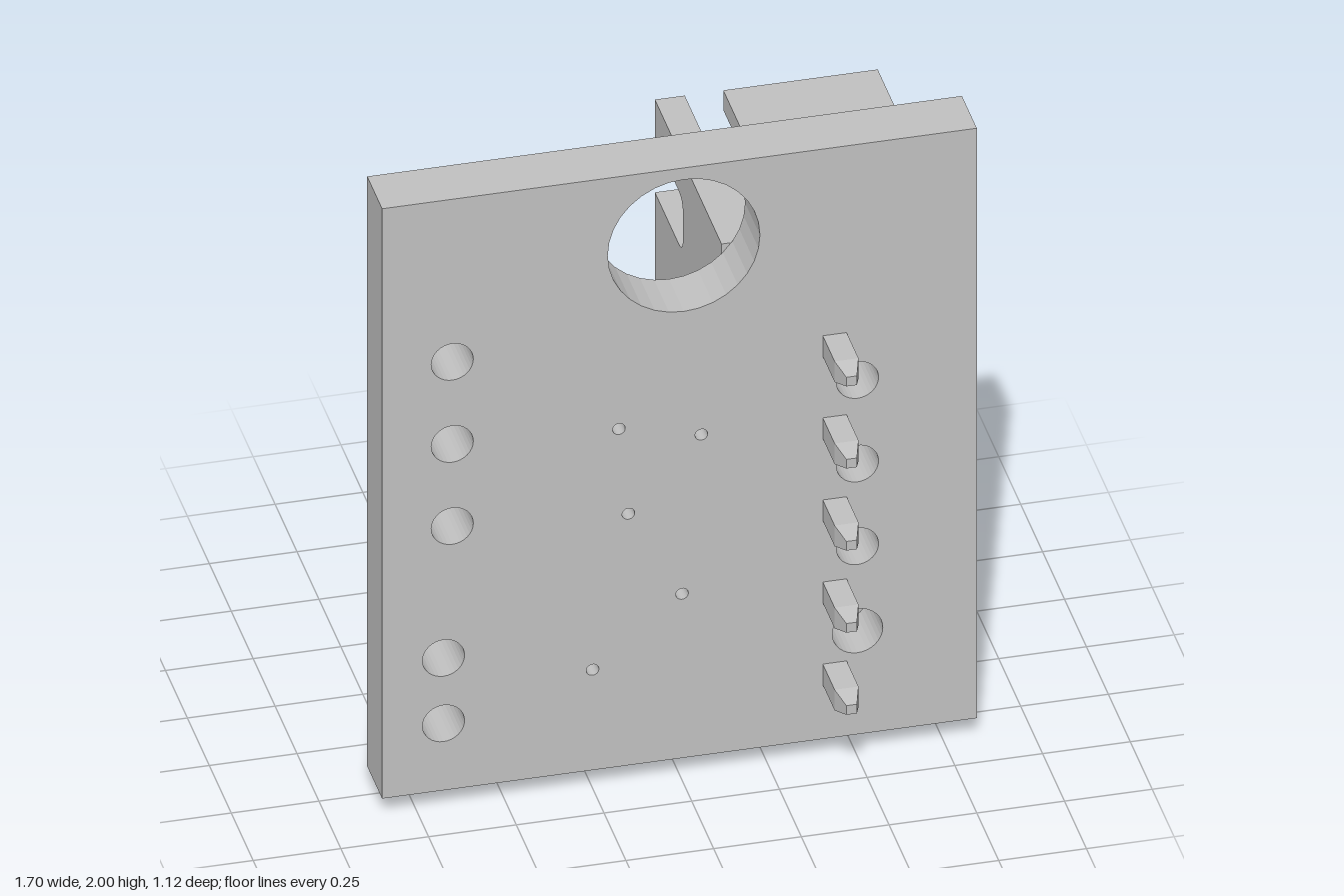
import * as THREE from 'three';

const grey = new THREE.MeshStandardMaterial({ color: 0xbfbfbf });
grey.name = 'plain grey';

export function createModel() {
  const model = new THREE.Group();
  const add = (name, geo, parent = model) => {
    const m = new THREE.Mesh(geo, grey);
    m.name = name;
    parent.add(m);
    return m;
  };
  const group = (name) => {
    const g = new THREE.Group();
    g.name = name;
    model.add(g);
    return g;
  };
  // Box from minimum and maximum corners
  const box = (name, x0, x1, y0, y1, z0, z1, parent) =>
    add(name, new THREE.BoxGeometry(x1 - x0, y1 - y0, z1 - z0)
      .translate((x0 + x1) / 2, (y0 + y1) / 2, (z0 + z1) / 2), parent);
  const poly = (pts) => new THREE.Shape(pts.map(([x, y]) => new THREE.Vector2(x, y)));
  const extrude = (shape, depth) =>
    new THREE.ExtrudeGeometry(shape, { depth, bevelEnabled: false, curveSegments: 16 });
  // Outline in (x, z), spanning y0..y1
  const slabY = (shape, y0, y1) => extrude(shape, y1 - y0).rotateX(Math.PI / 2).translate(0, y1, 0);
  // Outline in (z, y), spanning x0..x1
  const slabX = (shape, x0, x1) => extrude(shape, x1 - x0).rotateY(-Math.PI / 2).translate(x1, 0, 0);
  // Square-section solid along z from [half width, z] pairs
  const squareLoft = (pts) => {
    const g = new THREE.LatheGeometry(
      pts.map(([r, z]) => new THREE.Vector2(r * Math.SQRT2, z)), 4, Math.PI / 4)
      .rotateX(Math.PI / 2).toNonIndexed();
    g.computeVertexNormals();
    return g;
  };

  // Circuit board with its drilled holes
  const outline = poly([[-0.85, 0.06], [0.845, 0.06], [0.845, 2], [-0.85, 2]]);
  const holes = [[0.01, 1.745, 0.217], [0.505, 0.4, 0.072]];
  for (const y of [1.465, 1.195, 0.925]) holes.push([-0.65, y, 0.06]);
  for (const y of [0.495, 0.28]) holes.push([-0.675, y, 0.06]);
  for (const y of [1.225, 0.95, 0.678]) holes.push([0.505, y, 0.06]);
  for (const [x, y] of [[-0.175, 1.17], [0.06, 1.115], [-0.148, 0.887], [0.005, 0.6], [-0.25, 0.39]])
    holes.push([x, y, 0.018]);
  for (const [x, y, r] of holes)
    outline.holes.push(new THREE.Path().absarc(x, y, r, 0, Math.PI * 2, true));
  add('board', extrude(outline, 0.17).translate(0, 0, 0.2));

  // Connector housing, open towards the back
  const housing = group('connectorHousing');
  const L = 0.16, R = 0.795, H = 1.62, back = -0.56, floor = 0.03, t = 0.065;
  const pinYs = [0, 1, 2, 3, 4].map((i) => 0.272 + i * 0.27);

  add('housingBase', slabY(poly([[L, floor], [R, floor], [R, 0.11], [R - 0.06, 0.145],
    [L + 0.06, 0.145], [L, 0.11]]), 0, H), housing);

  // Standoff ribs between the pin notches
  const cuts = [0, ...pinYs.flatMap((y) => [y - 0.067, y + 0.067]), H];
  for (let i = 0; i < cuts.length; i += 2)
    box('standoffRib', L, R, cuts[i], cuts[i + 1], 0.11, 0.2, housing);

  box('plainSideWall', R - t, R, t, H - t, back, floor, housing);

  // End walls, each with a slot beside the corner post
  const end = new THREE.Shape();
  end.moveTo(L, back);
  end.lineTo(0.245, back);
  end.lineTo(0.245, -0.29);
  end.quadraticCurveTo(0.245, -0.24, 0.295, -0.24);
  end.lineTo(0.355, -0.24);
  end.lineTo(0.355, back);
  end.lineTo(R, back);
  end.lineTo(R, floor);
  end.lineTo(L, floor);
  add('lowerEndWall', slabY(end, 0, t), housing);
  add('upperEndWall', slabY(end, H - t, H), housing);

  // Slotted side wall
  const side = new THREE.Shape();
  side.moveTo(floor, t);
  side.lineTo(back, t);
  const slot = (y0, y1) => {
    const r = 0.05, s = -0.24;
    side.lineTo(back, y0);
    side.lineTo(s - r, y0);
    side.quadraticCurveTo(s, y0, s, y0 + r);
    side.lineTo(s, y1 - r);
    side.quadraticCurveTo(s, y1, s - r, y1);
    side.lineTo(back, y1);
  };
  slot(0.13, 0.305);
  slot(H - 0.305, H - 0.13);
  side.lineTo(back, H - t);
  side.lineTo(floor, H - t);
  add('slottedSideWall', slabX(side, L, 0.245), housing);

  // Square pins with tapered tips
  const pins = group('pins');
  const pinGeo = squareLoft([[0, -0.46], [0.015, -0.46], [0.034, -0.4],
    [0.034, 0.505], [0.015, 0.563], [0, 0.563]]);
  for (const y of pinYs) add('pin', pinGeo, pins).position.set(0.44, y, 0);

  // Small chip with three legs above and two below
  const chip = group('chip');
  const cx = -0.042, cy = 0.865;
  add('chipBody', squareLoft([[0, 0.012], [0.93, 0.012], [1, 0.05], [1, 0.12], [0.95, 0.185], [0, 0.185]])
    .scale(0.157, 0.09, 1).translate(cx, cy, 0).toNonIndexed(), chip).geometry.computeVertexNormals();
  const leg = (x, s) => add('chipLeg', slabX(poly([[0.08, 0.07], [0.08, 0.11], [0.17, 0.125], [0.17, 0.15],
    [0.2, 0.15], [0.2, 0.105], [0.11, 0.09], [0.11, 0.07]].map(([z, v]) => [z, cy + s * v])),
  x - 0.022, x + 0.022), chip);
  for (const dx of [-0.103, 0, 0.103]) leg(cx + dx, 1);
  for (const dx of [-0.103, 0.103]) leg(cx + dx, -1);

  // Surface-mounted blocks
  for (const [x, y, hw, hh] of [[-0.032, 1.24, 0.09, 0.043], [0.068, 0.38, 0.043, 0.09], [-0.16, 0.384, 0.043, 0.09]])
    box('smallBlock', x - hw, x + hw, y - hh, y + hh, 0.145, 0.2);

  return model;
}
